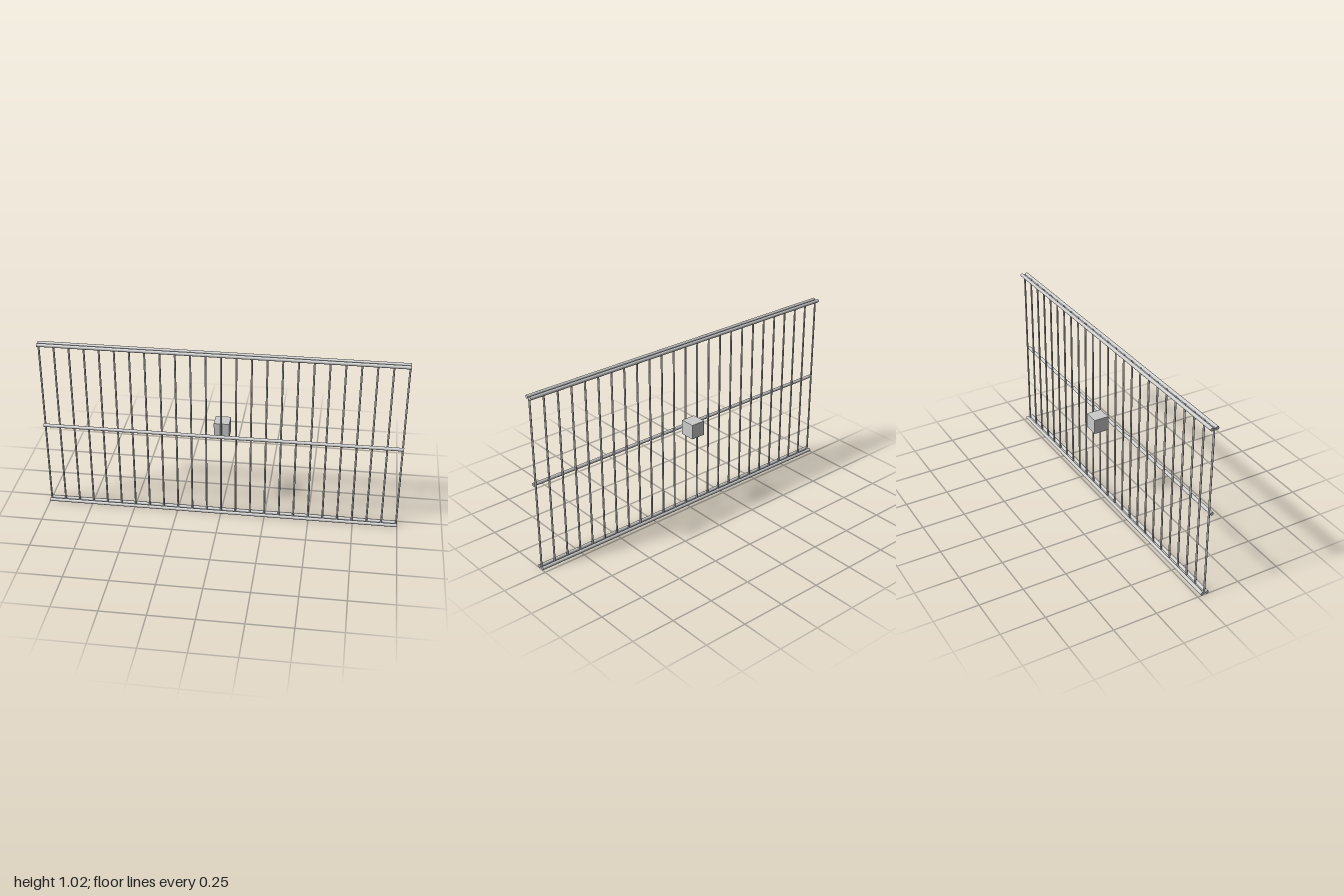
import * as THREE from 'three';

const RAIL_R = 0.0097, BAR_R = 0.0052;
const BAR_Z = 0.0415, OFFSET = RAIL_R + BAR_R;
const LOW = 0.01, MID = 0.508, HIGH = 1.006;

export function createModel() {
  const model = new THREE.Group();
  model.name = 'fencePanel';
  const material = new THREE.MeshStandardMaterial({ color: 0xcccccc });

  const add = (name, geometry, x, y, z) => {
    const mesh = new THREE.Mesh(geometry, material);
    mesh.name = name;
    mesh.position.set(x, y, z);
    model.add(mesh);
  };

  // Horizontal rails: pairs clamp the bars at top and bottom, one in front at mid height
  const railGeometry = new THREE.CylinderGeometry(RAIL_R, RAIL_R, 2, 24).rotateZ(Math.PI / 2);
  const front = BAR_Z + OFFSET, back = BAR_Z - OFFSET;
  add('bottomFrontRail', railGeometry, 0, LOW, front);
  add('bottomBackRail', railGeometry, 0, LOW, back);
  add('middleRail', railGeometry, 0, MID, front);
  add('topFrontRail', railGeometry, 0, HIGH, front);
  add('topBackRail', railGeometry, 0, HIGH, back);

  // Evenly spaced vertical bars
  const barGeometry = new THREE.CylinderGeometry(BAR_R, BAR_R, 1.002, 20);
  const bars = 25, reach = 0.994;
  for (let i = 0; i < bars; i++) {
    const x = -reach + (2 * reach * i) / (bars - 1);
    add('verticalBar' + (i + 1), barGeometry, x, MID, BAR_Z);
  }

  // Block behind the centre
  add('backBlock', new THREE.BoxGeometry(0.086, 0.086, 0.086), 0, 0.528, -0.0225);

  return model;
}
